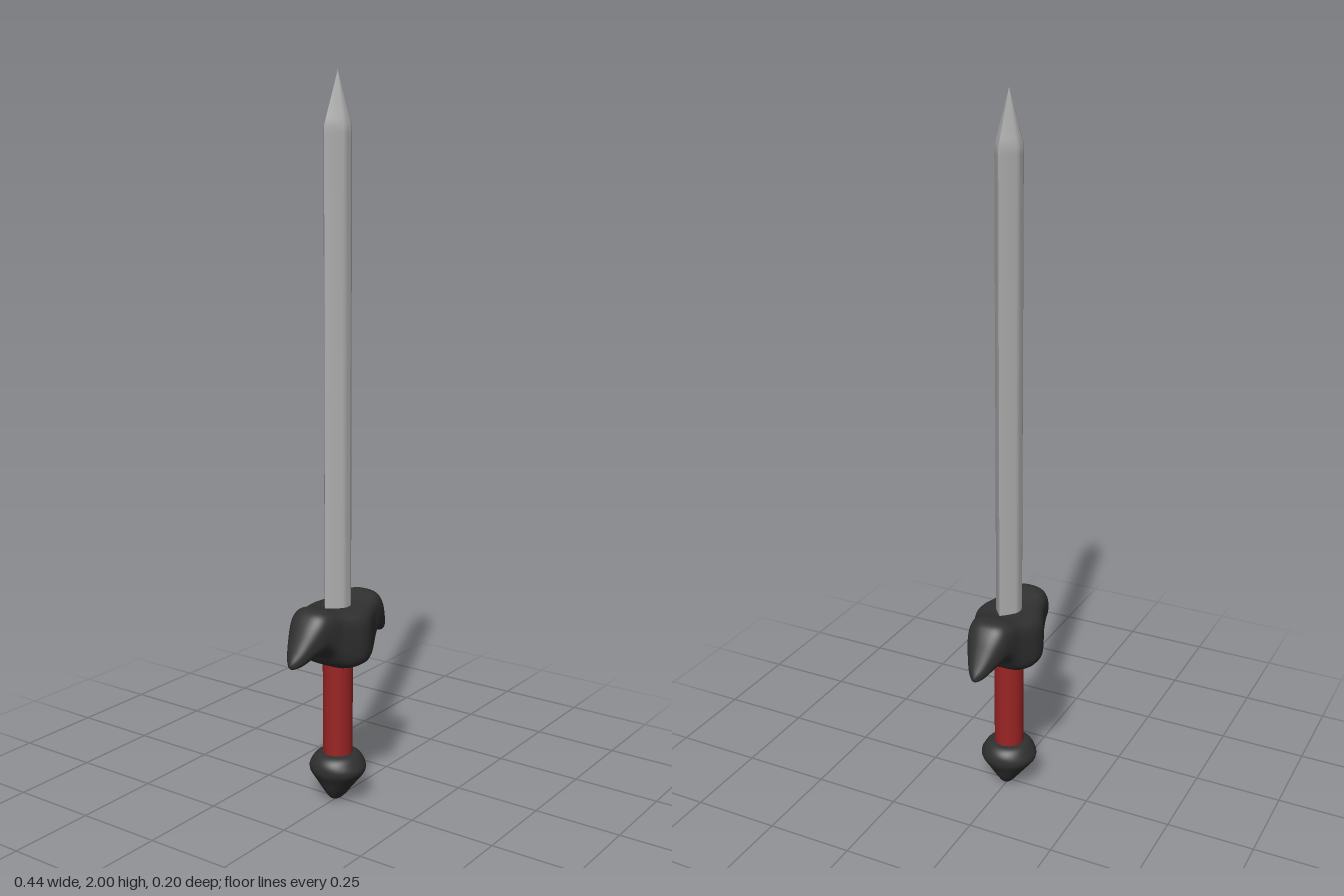
import * as THREE from 'three';
import { toCreasedNormals } from 'three/addons/utils/BufferGeometryUtils.js';

const mat = (color) => new THREE.MeshStandardMaterial({ color });

// Skin a stack of closed rings (each ring turns right-handed about the stacking axis)
function loft(rings) {
  const n = rings[0].length, pos = [], index = [];
  for (const ring of rings) for (const p of ring) pos.push(...p);
  for (let i = 0; i < rings.length - 1; i++) {
    for (let j = 0; j < n; j++) {
      const a = i * n + j, b = i * n + (j + 1) % n;
      index.push(a, b, a + n, b, b + n, a + n);
    }
  }
  const g = new THREE.BufferGeometry();
  g.setAttribute('position', new THREE.Float32BufferAttribute(pos, 3));
  g.setIndex(index);
  g.computeVertexNormals();
  return g;
}

// Smooth samples through three-value stations
const smooth = (stations, count) =>
  new THREE.CatmullRomCurve3(stations.map((s) => new THREE.Vector3(...s)), false, 'centripetal').getPoints(count);

// Unit superellipse point; power 2 is a circle, higher is squarer
function superPoint(a, power) {
  const f = (v) => Math.sign(v) * Math.abs(v) ** (2 / power);
  return [f(Math.cos(a)), f(Math.sin(a))];
}

function add(group, name, geometry, material) {
  const mesh = new THREE.Mesh(geometry, material);
  mesh.name = name;
  group.add(mesh);
}

// Blade: flattened diamond section drawn into a point
function bladeGeometry() {
  const section = [[0.06, 0], [0.02, -0.031], [0.008, -0.035], [-0.008, -0.035], [-0.02, -0.031],
    [-0.06, 0], [-0.02, 0.031], [-0.008, 0.035], [0.008, 0.035], [0.02, 0.031]];
  const levels = [[0.5, 0], [0.5, 1], [1.84, 1], [1.86, 1], [1.88, 0.857], [2, 0]];
  return toCreasedNormals(loft(levels.map(([y, s]) => section.map(([x, z]) => [x * s, y, z * s]))), 0.6);
}

// Guard: rounded sections along x, boxy in the middle and drooping to pointed wings
function guardGeometry() {
  // Distance from the middle, top height, bottom height
  const outline = [[0, 0.572, 0.406], [0.03, 0.573, 0.406], [0.055, 0.575, 0.411], [0.075, 0.58, 0.425],
    [0.092, 0.585, 0.449], [0.11, 0.588, 0.465], [0.128, 0.587, 0.469], [0.145, 0.579, 0.464],
    [0.165, 0.555, 0.455], [0.185, 0.521, 0.448], [0.205, 0.486, 0.445], [0.215, 0.469, 0.447], [0.22, 0.457, 0.457]];
  // Distance from the middle, half depth
  const depth = [[0, 0.101, 0], [0.02, 0.098, 0], [0.05, 0.086, 0], [0.08, 0.073, 0], [0.11, 0.066, 0],
    [0.14, 0.058, 0], [0.17, 0.043, 0], [0.2, 0.024, 0], [0.215, 0.009, 0], [0.22, 0, 0]];
  const depths = smooth(depth, 120);
  const half = smooth(outline, 40).map((p) => {
    const k = Math.max(1, depths.findIndex((d) => d.x >= p.x - 1e-6));
    const a = depths[k - 1], b = depths[k];
    const t = THREE.MathUtils.clamp((p.x - a.x) / (b.x - a.x), 0, 1);
    return { x: p.x, top: p.y, bottom: p.z, depth: a.y + (b.y - a.y) * t };
  });
  const all = [...half.slice(1).reverse().map((s) => ({ ...s, x: -s.x })), ...half];
  return loft(all.map((s) => {
    const power = 4.2 - 1.9 * THREE.MathUtils.smoothstep(Math.abs(s.x), 0.03, 0.18);
    const mid = (s.top + s.bottom) / 2, h = (s.top - s.bottom) / 2;
    return Array.from({ length: 40 }, (_, j) => {
      const [c, d] = superPoint((j / 40) * Math.PI * 2, power);
      return [s.x, mid + h * c, s.depth * d];
    });
  }));
}

// Pommel: rounded knob, fuller across x and more pointed across z
function pommelGeometry() {
  // Height, half width, half depth
  const profile = [[0, 0, 0], [0.002, 0.018, 0.009], [0.012, 0.033, 0.02], [0.035, 0.049, 0.038],
    [0.065, 0.064, 0.062], [0.088, 0.076, 0.079], [0.102, 0.078, 0.081], [0.118, 0.075, 0.073],
    [0.132, 0.065, 0.063], [0.14, 0.05, 0.05], [0.141, 0, 0]];
  return loft(smooth(profile, 40).map((p) => Array.from({ length: 32 }, (_, j) => {
    const a = (j / 32) * Math.PI * 2;
    return [Math.max(0, p.y) * Math.sin(a), Math.max(0, p.x), Math.max(0, p.z) * Math.cos(a)];
  })));
}

export function createModel() {
  const group = new THREE.Group();
  group.name = 'sword';
  const dark = mat(0x303030);

  add(group, 'blade', bladeGeometry(), mat(0xb4b4b4));
  add(group, 'guard', guardGeometry(), dark);
  add(group, 'grip', new THREE.CylinderGeometry(0.042, 0.042, 0.32, 32).translate(0, 0.28, 0), mat(0x9a2424));
  add(group, 'pommel', pommelGeometry(), dark);
  return group;
}
